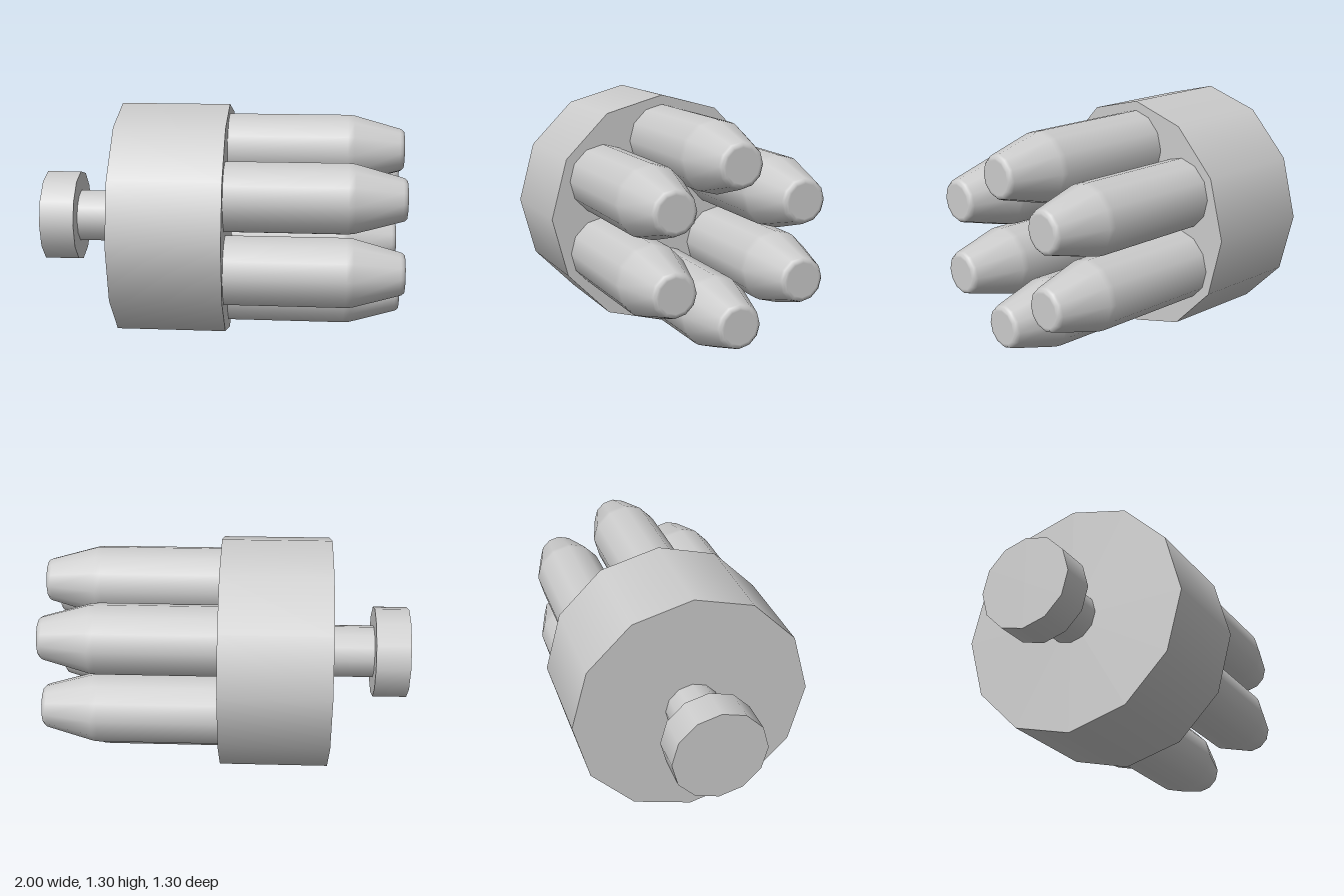
import * as THREE from 'three';

const SIDES = 12;
const AXIS_Y = 0.65;
const material = new THREE.MeshStandardMaterial({ color: 0xcccccc });

// Cylinder lying along x between two x positions
function disc(name, radius, x0, x1) {
  const geometry = new THREE.CylinderGeometry(radius, radius, x1 - x0, SIDES);
  geometry.rotateZ(-Math.PI / 2);
  const mesh = new THREE.Mesh(geometry, material);
  mesh.name = name;
  mesh.position.set((x0 + x1) / 2, AXIS_Y, 0);
  return mesh;
}

export function createModel() {
  const group = new THREE.Group();
  group.name = 'model';

  // Drum with its stem and turning knob
  group.add(disc('drum', 0.65, -0.56, 0.04));
  group.add(disc('stem', 0.147, -0.81, -0.56));
  group.add(disc('knob', 0.255, -1, -0.81));

  // Tapered rod: straight body, conical nose, small bevel, flat tip
  const profile = [
    [0.193, 0.04], [0.193, 0.69], [0.19, 0.725], [0.12, 0.975],
    [0.115, 0.988], [0.103, 1], [0.09, 1], [0, 1],
  ].map(([r, x]) => new THREE.Vector2(r, x));
  const rodGeometry = new THREE.LatheGeometry(profile, SIDES);
  rodGeometry.rotateZ(-Math.PI / 2);

  // Six rods in a ring, one at the top
  for (let i = 0; i < 6; i++) {
    const angle = (i * Math.PI) / 3;
    const rod = new THREE.Mesh(rodGeometry, material);
    rod.name = 'rod';
    rod.position.set(0, AXIS_Y + 0.405 * Math.cos(angle), 0.405 * Math.sin(angle));
    group.add(rod);
  }
  return group;
}
